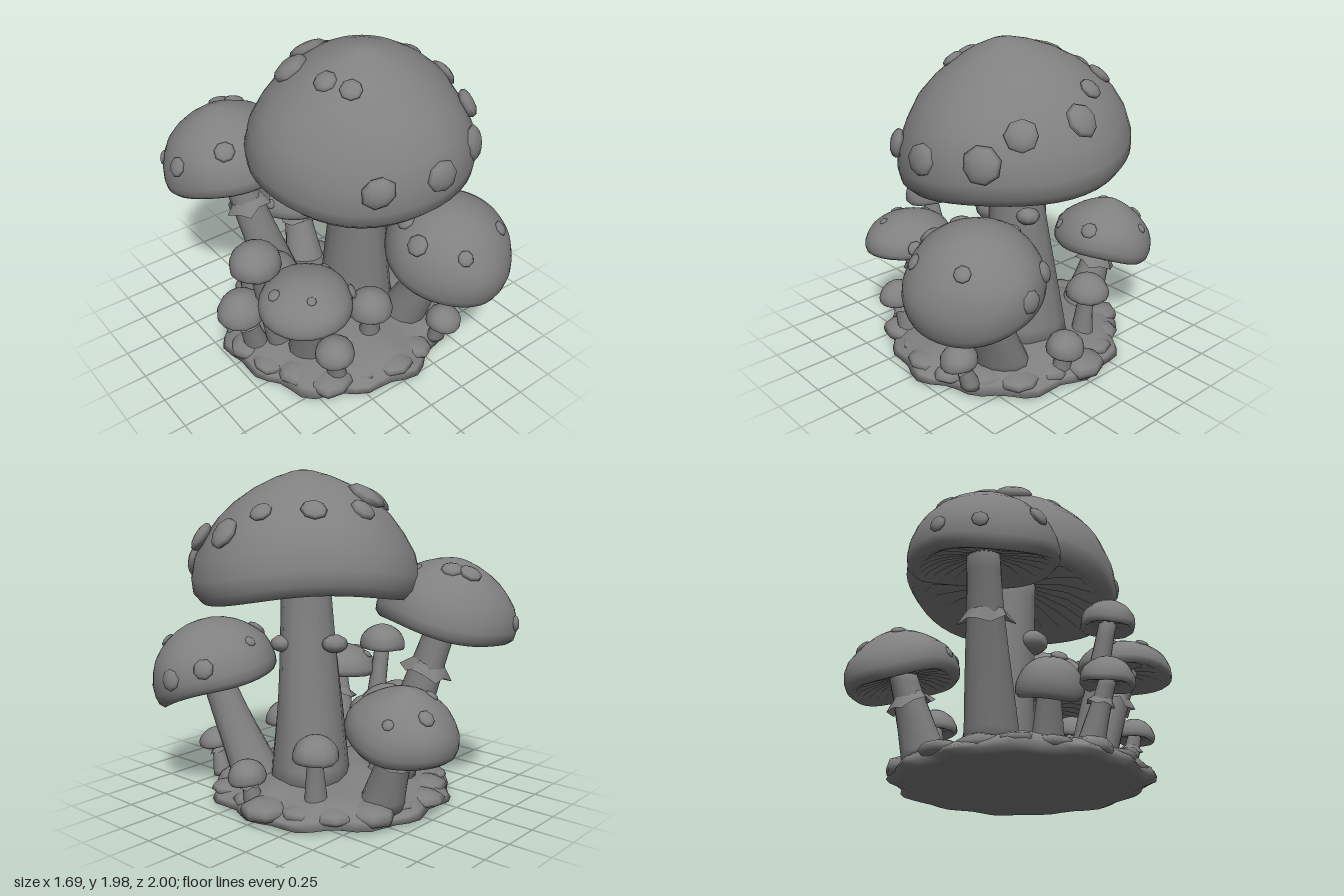
import * as THREE from 'three';
import { mergeVertices } from 'three/addons/utils/BufferGeometryUtils.js';

const V = (x, y, z) => new THREE.Vector3(x, y, z);
const UP = V(0, 1, 0);

// Smooth pseudo-random wobble, about -1 to 1
const wobble = (p, f, s) =>
  (Math.sin(p.x * f + s) + Math.sin(p.y * f * 1.3 + s * 2.1) + Math.sin(p.z * f * 1.1 + s * 3.7)) / 3;

// Move every vertex by a rule, then weld the seams and smooth the normals
function reshape(geometry, rule) {
  const pos = geometry.attributes.position;
  const p = V(0, 0, 0);
  for (let i = 0; i < pos.count; i++) {
    p.fromBufferAttribute(pos, i);
    rule(p);
    pos.setXYZ(i, p.x, p.y, p.z);
  }
  geometry.deleteAttribute('uv');
  geometry.deleteAttribute('normal');
  const welded = mergeVertices(geometry, 1e-4);
  welded.computeVertexNormals();
  return welded;
}

// Cap section: gilled hollow, rolled rim, then a dome; a larger cone makes it more pointed
function capSection(cone) {
  const points = [[0, 0.2], [0.3, 0.18], [0.55, 0.14], [0.74, 0.08], [0.84, 0.01], [0.92, -0.01], [0.985, 0.06]]
    .map(([r, y]) => new THREE.Vector2(r, y));
  for (let i = 0; i <= 8; i++) {
    const a = (i / 8) * Math.PI / 2;
    points.push(new THREE.Vector2(i < 8 ? Math.pow(Math.cos(a), cone) : 0, 0.17 + 0.83 * Math.sin(a)));
  }
  return points;
}

export function createModel() {
  const group = new THREE.Group();
  const grey = new THREE.MeshStandardMaterial({ color: 0x808080, side: THREE.DoubleSide });
  grey.name = 'grey';

  const add = (parent, name, geometry) => {
    const mesh = new THREE.Mesh(geometry, grey);
    mesh.name = name;
    parent.add(mesh);
    return mesh;
  };

  // Uneven flattened lump
  const lump = (size, flat, seed) => reshape(new THREE.SphereGeometry(size, 8, 6), (p) => {
    p.multiplyScalar(1 + 0.15 * wobble(p, 25, seed));
    p.y *= flat;
  });

  function makeCap(r, h, cone, seed) {
    const cap = new THREE.Group();
    cap.name = 'cap';
    const sides = r > 0.3 ? 48 : r > 0.17 ? 24 : 14;
    const section = capSection(cone);
    let row = 0;
    add(cap, 'capShell', reshape(new THREE.LatheGeometry(section, sides), (p) => {
      const j = row++ % section.length;
      const a = Math.atan2(p.x, p.z);
      // radial gills on the hollow underside
      if (j > 0 && j < 4) p.y += 0.03 * Math.cos(a * sides / 2);
      const k = r * (1 + 0.03 * wobble(p, 5, seed));
      const sag = j > 2 && j < 10 ? 0.03 * Math.sin(a * 3 + seed) : 0;
      p.set(p.x * k, (p.y + sag) * h, p.z * k);
    }));
    // warts spread over the larger domes
    const warts = r > 0.25 ? Math.round(r * 18) : 0;
    for (let i = 0; i < warts; i++) {
      const a = i * 2.4 + seed;
      const j = 8 + (i * 2) % 5;
      const size = r * (0.13 + 0.035 * Math.sin(i * 5 + seed));
      const wart = add(cap, 'wart', lump(size, 0.4, i + seed));
      wart.position.set(Math.sin(a) * section[j].x * r, section[j].y * h, Math.cos(a) * section[j].x * r);
      const out = (section[j + 1].y - section[j - 1].y) * h;
      const rise = (section[j - 1].x - section[j + 1].x) * r;
      wart.quaternion.setFromUnitVectors(UP, V(Math.sin(a) * out, rise, Math.cos(a) * out).normalize());
    }
    return cap;
  }

  // Ragged collar hanging round a stem
  const makeSkirt = (radius, seed) =>
    reshape(new THREE.CylinderGeometry(radius * 0.9, radius * 1.4, radius * 0.7, 12, 1, true), (p) => {
      if (p.y > 0) return;
      const a = Math.atan2(p.x, p.z);
      const k = 1 + 0.15 * Math.sin(a * 6 + seed);
      p.set(p.x * k, p.y * (1 + 0.5 * Math.sin(a * 4 + seed)), p.z * k);
    });

  // foot (x, z), rim centre (x, y, z), cap radius and height, stem radius at
  // the foot, nod: how far the cap follows the lean of the stem, cone of the dome
  function addMushroom(name, [fx, fz], [x, y, z], r, h, stem, nod, cone, hasSkirt) {
    const seed = group.children.length * 1.7 + 0.6;
    const mushroom = new THREE.Group();
    mushroom.name = name;
    group.add(mushroom);

    // stem sweeps from the foot up into the cap hollow
    const foot = V(fx, 0.07, fz);
    const rim = V(x, y, z);
    const lean = rim.clone().sub(foot).divideScalar(y - foot.y);
    const axis = V(lean.x * nod, 1, lean.z * nod).normalize();
    const top = rim.clone().addScaledVector(axis, h * 0.25);
    const path = new THREE.QuadraticBezierCurve3(foot, top.clone().lerp(foot, 0.5).addScaledVector(axis, 0.02), top);
    const width = (t) => stem * (0.58 + 0.42 * Math.pow(1 - t, 1.4));
    add(mushroom, 'stem', reshape(new THREE.CylinderGeometry(1, 1, 1, 14, 8), (p) => {
      const t = p.y + 0.5;
      const k = width(t) * (1 + 0.05 * Math.sin(Math.atan2(p.x, p.z) * 3 + t * 4 + seed));
      const c = path.getPoint(t);
      p.set(c.x + p.x * k, c.y, c.z + p.z * k);
    }));
    if (hasSkirt) {
      const skirt = add(mushroom, 'skirt', makeSkirt(width(0.68), seed));
      skirt.position.copy(path.getPoint(0.68));
      skirt.quaternion.setFromUnitVectors(UP, path.getTangent(0.68));
    }
    const cap = makeCap(r, h, cone, seed);
    cap.position.copy(rim);
    cap.quaternion.setFromUnitVectors(UP, axis);
    mushroom.add(cap);
  }

  // Large mushrooms
  addMushroom('mainMushroom', [0.21, 0.01], [0.17, 1.25, 0.07], 0.68, 0.75, 0.25, 2, 1.45, false);
  addMushroom('frontMushroom', [0.34, 0.31], [0.42, 0.66, 0.58], 0.4, 0.44, 0.17, 0.75, 1, false);
  addMushroom('backRightMushroom', [-0.14, -0.3], [-0.36, 1.06, -0.55], 0.42, 0.43, 0.16, 0.65, 1.3, true);
  addMushroom('backMushroom', [0.16, -0.5], [0.2, 0.5, -0.66], 0.32, 0.34, 0.14, 0.6, 1.4, true);
  addMushroom('broadMushroom', [-0.35, 0.24], [-0.48, 0.62, 0.4], 0.28, 0.21, 0.13, 0.25, 1.15, true);
  addMushroom('roundMushroom', [-0.27, -0.03], [-0.38, 0.42, -0.1], 0.19, 0.22, 0.11, 1.3, 0.95, false);

  // Small mushrooms: foot, rim centre, cap radius
  const small = [
    [[-0.45, 0.08], [-0.63, 0.8, 0.12], 0.155],
    [[-0.57, 0], [-0.69, 0.42, 0.03], 0.15],
    [[-0.34, 0.52], [-0.39, 0.3, 0.56], 0.12],
    [[0.02, 0.38], [-0.01, 0.36, 0.42], 0.14],
    [[0.38, 0.61], [0.37, 0.245, 0.68], 0.11],
    [[0.6, 0.1], [0.64, 0.22, 0.11], 0.115],
    [[0.44, -0.24], [0.46, 0.38, -0.26], 0.135],
  ];
  small.forEach(([foot, rim, r], i) =>
    addMushroom('smallMushroom', foot, rim, r, r * 1.1, r * 0.56, 0.4, 1.1, i % 3 !== 0));

  // Torn collar pieces on the main stem
  for (const [x, y, z, s] of [[0.03, 0.95, 0.14, 0.1], [0.17, 0.99, -0.15, 0.075], [0.33, 0.98, 0.12, 0.07]]) {
    add(group, 'collarPiece', lump(s, 0.75, s * 50)).position.set(x, y, z);
  }

  // Lumpy ground patch with a flat underside
  const ground = [[0, 0.01], [0.68, 0.01], [0.73, 0.03], [0.71, 0.08], [0.64, 0.12], [0.5, 0.15], [0.3, 0.18], [0, 0.19]];
  const patch = new THREE.LatheGeometry(ground.map(([r, y]) => new THREE.Vector2(r, y)), 56);
  add(group, 'ground', reshape(patch, (p) => {
    const a = Math.atan2(p.x, p.z);
    const edge = Math.hypot(p.x, p.z) / 0.73;
    const k = 1 + edge * edge * (0.03 * Math.sin(a * 13) + 0.02 * Math.sin(a * 7 + 1));
    if (p.y > 0.05) p.y += 0.025 * wobble(p, 13, 2);
    p.set(p.x * k, p.y, p.z * k + 0.02);
  }));

  // Mounds along the edge of the patch
  for (let i = 0; i < 19; i++) {
    const a = i * Math.PI * 2 / 19;
    const r = 0.61 + 0.03 * Math.sin(i * 2.7);
    const mound = add(group, 'mound', lump(0.125 + 0.02 * Math.sin(i * 4.1), 0.42, i));
    mound.position.set(Math.sin(a) * r, 0.08, Math.cos(a) * r + 0.02);
  }
  return group;
}
